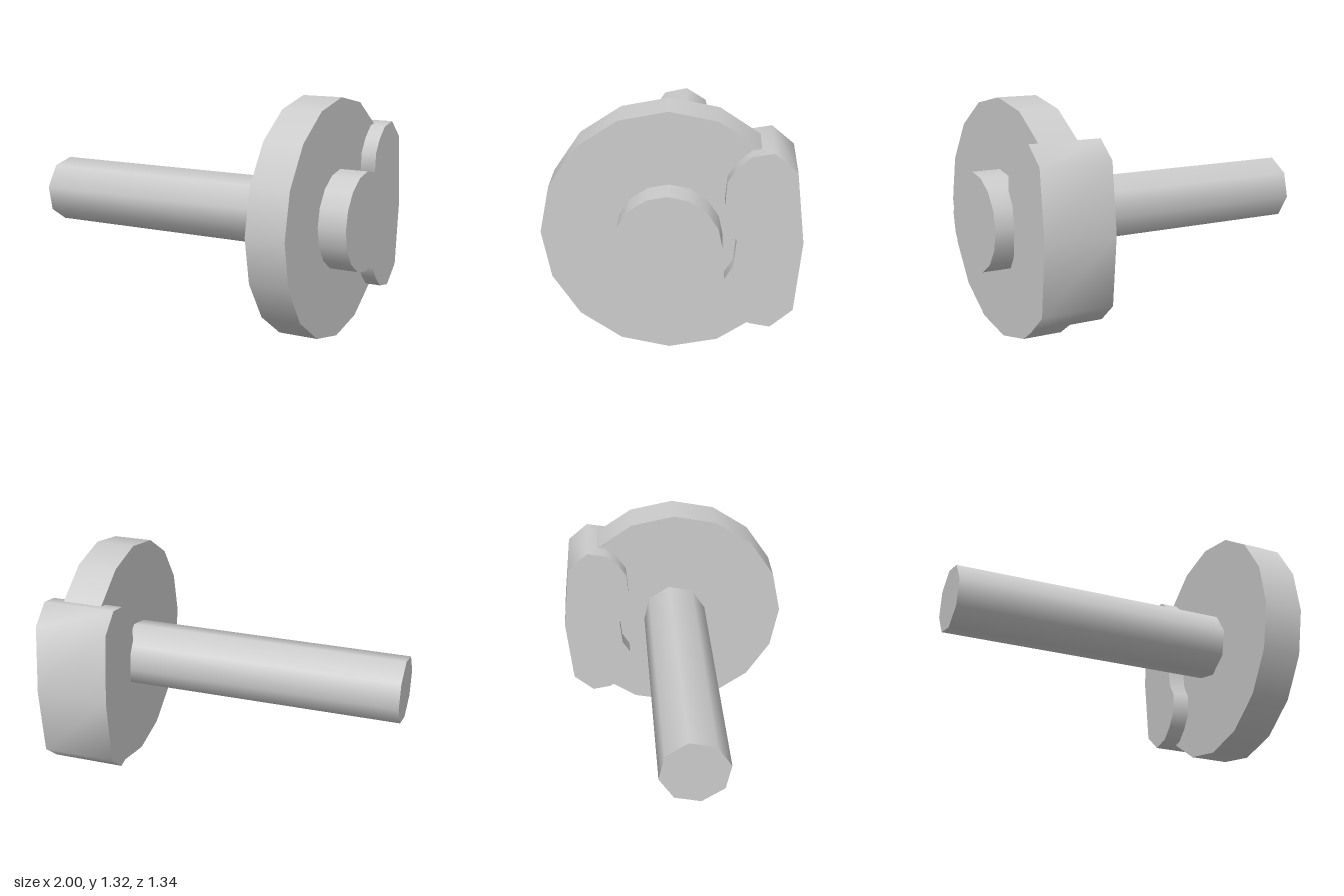
import * as THREE from 'three';
import { toCreasedNormals } from 'three/addons/utils/BufferGeometryUtils.js';

const AXIS_Y = 0.667, AXIS_Z = 0.01;

export function createModel() {
  const group = new THREE.Group();
  const material = new THREE.MeshStandardMaterial({ color: 0xcccccc });

  const add = (name, geometry) => {
    const mesh = new THREE.Mesh(geometry, material);
    mesh.name = name;
    group.add(mesh);
  };

  // Cylinder along x between two positions on the common axis
  const round = (name, radius, x0, x1, sides, turn = 0) => {
    const g = new THREE.CylinderGeometry(radius, radius, x1 - x0, sides, 1, false, turn);
    g.rotateZ(-Math.PI / 2);
    g.translate((x0 + x1) / 2, AXIS_Y, AXIS_Z);
    add(name, g);
  };

  round('shaft', 0.191, -1, 0.63, 8, THREE.MathUtils.degToRad(-10));
  round('disc', 0.662, 0.615, 0.84, 16);
  round('hub', 0.275, 0.83, 1, 16);

  // Clamp block straddling the disc rim: [distance behind the axis, height above it]
  const half = [
    [0.335, 0], [0.32, 0.138], [0.275, 0.21], [0.285, 0.328], [0.335, 0.403],
    [0.405, 0.463], [0.515, 0.482], [0.632, 0.382], [0.672, 0],
  ];
  const lower = half.slice(1, -1).reverse().map(([u, v]) => [u, -v]);
  const outline = [...half, ...lower].map(([u, v]) => new THREE.Vector2(u, AXIS_Y + v));
  const clamp = new THREE.ExtrudeGeometry(new THREE.Shape(outline), { depth: 0.412, bevelEnabled: false });
  clamp.rotateY(Math.PI / 2);
  clamp.translate(0.514, 0, 0);
  add('rimClamp', toCreasedNormals(clamp, 1.0));

  return group;
}
